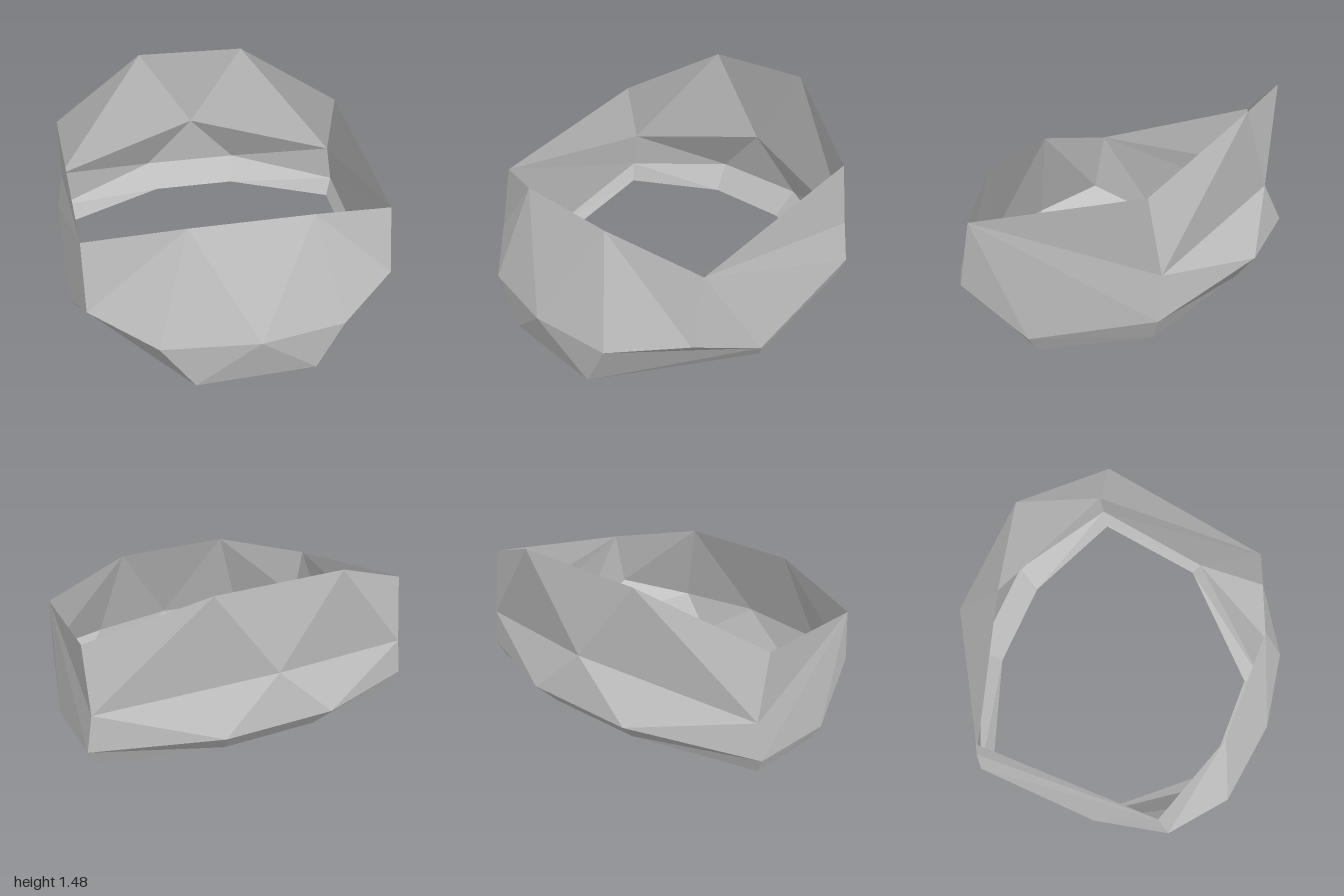
import * as THREE from 'three';

// Corners of the faceted band on the +x side; lower-case keys are the bottom edge
const P = {
  frontRim: [0.36, 0.96, 0.72], frontCorner: [0.92, 0.84, 0.52],
  frontMid: [0, 0.32, 0.96], cheek: [0.52, 0.32, 0.88], frontSide: [0.92, 0.44, 0.6],
  chin: [0.36, 0.04, 0.88], sideLow: [1, 0.24, 0.12],
  backRim: [0.36, 1.48, -0.88], backCorner: [0.96, 1.16, -0.56],
  backMid: [0, 0.96, -0.92], backSide: [0.96, 0.76, -0.64],
  backSideLow: [1, 0.52, -0.64], backLow: [0.32, 0.64, -0.96],
  edgeChin: [0.36, 0, 0.72], edgeSide: [0.96, 0.16, 0.08],
  edgeBackSide: [0.96, 0.4, -0.6], edgeBack: [0.28, 0.48, -0.84],
};

// '-name' is the mirrored corner on the -x side
function corner(key) {
  if (key === '-cheek') return [-0.56, 0.32, 0.88];
  if (key[0] !== '-') return P[key];
  const [x, y, z] = P[key.slice(1)];
  return [-x, y, z];
}

const flip = (tri) => tri.map((k) => '-' + k).reverse();
const both = (tris) => [...tris, ...tris.map(flip)];

export function createModel() {
  const group = new THREE.Group();
  const grey = new THREE.MeshStandardMaterial({ color: 0xc0c0c0, flatShading: true, side: THREE.DoubleSide });
  grey.name = 'grey';

  function panel(name, tris) {
    const geometry = new THREE.BufferGeometry();
    const points = tris.flat().flatMap(corner);
    geometry.setAttribute('position', new THREE.Float32BufferAttribute(points, 3));
    geometry.computeVertexNormals();
    const mesh = new THREE.Mesh(geometry, grey);
    mesh.name = name;
    group.add(mesh);
  }

  // Front panel
  panel('frontPanel', [
    ['-frontRim', 'frontMid', 'frontRim'],
    ['frontMid', '-chin', 'chin'],
    ...both([
      ['frontRim', 'frontMid', 'cheek'],
      ['frontRim', 'cheek', 'frontSide'],
      ['frontRim', 'frontSide', 'frontCorner'],
      ['frontMid', 'chin', 'cheek'],
      ['cheek', 'sideLow', 'frontSide'],
      ['cheek', 'chin', 'sideLow'],
    ]),
  ]);

  // Side walls, fanned from the upper front corner
  const fan = ['frontSide', 'sideLow', 'backSideLow', 'backSide', 'backCorner'];
  const wall = fan.slice(1).map((k, i) => ['frontCorner', fan[i], k]);
  panel('leftWall', wall);
  panel('rightWall', wall.map(flip));

  // Raised back panel
  panel('backPanel', [
    ['backRim', 'backMid', '-backRim'],
    ['backMid', 'backLow', '-backLow'],
    ...both([
      ['backCorner', 'backSide', 'backRim'],
      ['backSide', 'backMid', 'backRim'],
      ['backSide', 'backLow', 'backMid'],
      ['backSide', 'backSideLow', 'backLow'],
    ]),
  ]);

  // Narrow lip turned inward around the bottom
  const quad = (a, al, b, bl) => [[a, al, bl], [a, bl, b]];
  const upper = ['chin', 'sideLow', 'backSideLow', 'backLow'];
  const lower = ['edgeChin', 'edgeSide', 'edgeBackSide', 'edgeBack'];
  const half = [0, 1, 2].flatMap((i) => quad(upper[i], lower[i], upper[i + 1], lower[i + 1]));
  panel('bottomLip', [
    ...quad('-chin', '-edgeChin', 'chin', 'edgeChin'),
    ...quad('backLow', 'edgeBack', '-backLow', '-edgeBack'),
    ...both(half),
  ]);

  return group;
}
